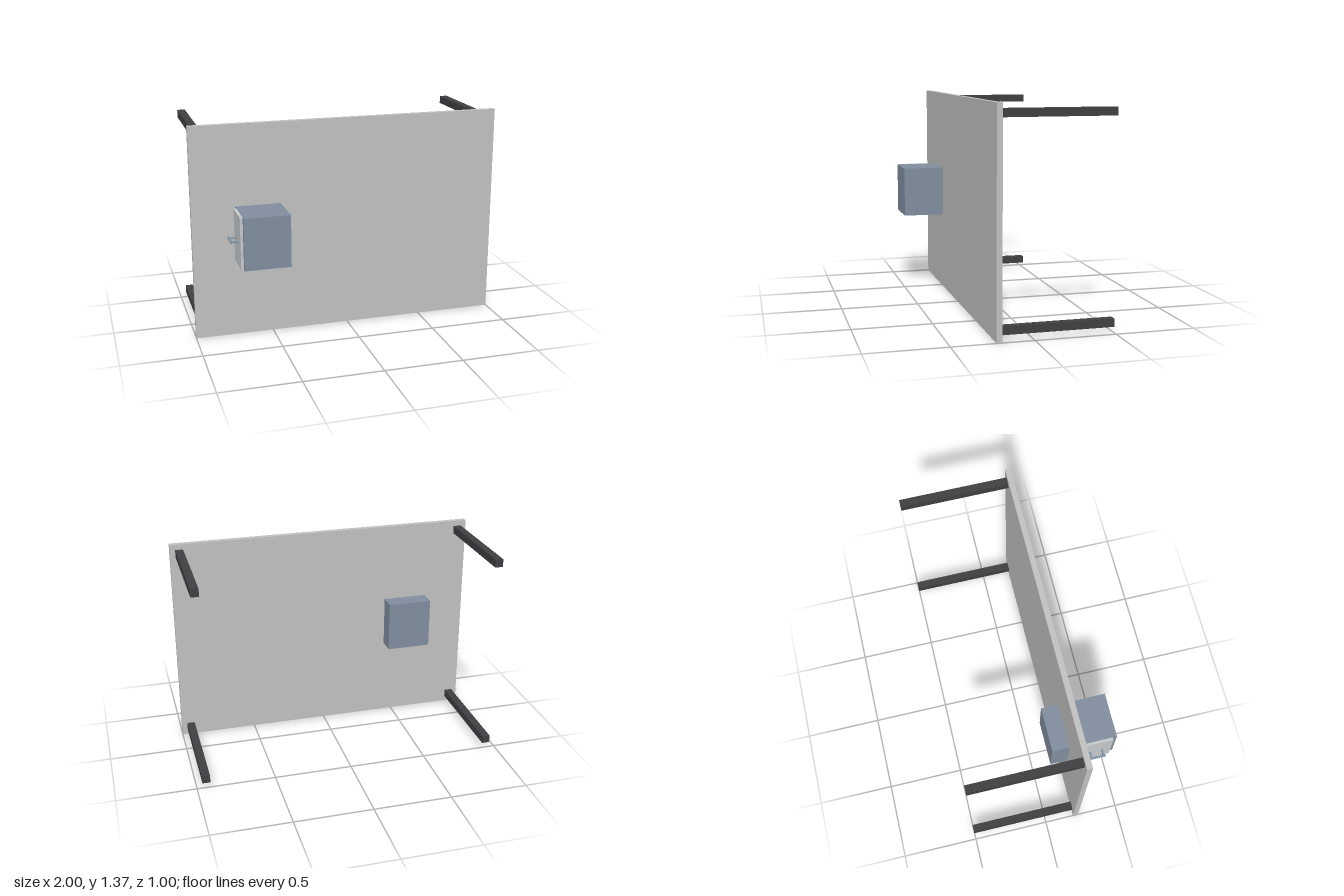
import * as THREE from 'three';

const mat = (name, color) => {
  const m = new THREE.MeshStandardMaterial({ color });
  m.name = name;
  return m;
};

export function createModel() {
  const group = new THREE.Group();
  const panelGrey = mat('panelGrey', 0xc0c0c0);
  const slate = mat('slateBlue', 0x808d9e);
  const charcoal = mat('charcoal', 0x3f3f42);
  const doorGrey = mat('doorGrey', 0xc4c8cb);
  const steel = mat('handleSteel', 0x8297a8);

  const add = (name, geometry, material, x, y, z) => {
    const mesh = new THREE.Mesh(geometry, material);
    mesh.name = name;
    mesh.position.set(x, y, z);
    group.add(mesh);
    return mesh;
  };

  // Box spanning min and max corners
  const box = (name, material, [x0, y0, z0], [x1, y1, z1]) =>
    add(name, new THREE.BoxGeometry(x1 - x0, y1 - y0, z1 - z0), material,
      (x0 + x1) / 2, (y0 + y1) / 2, (z0 + z1) / 2);

  // Upright board
  box('panel', panelGrey, [-1, 0, 0.195], [1, 1.37, 0.23]);

  // Four legs pointing backwards from the corners
  for (const x of [-0.94, 0.94]) {
    for (const y of [0.06, 1.31]) {
      box('leg', charcoal, [x - 0.025, y - 0.025, -0.502], [x + 0.025, y + 0.025, 0.195]);
    }
  }

  // Cabinet passing through the board, with a thin front plate on its side
  box('cabinet', slate, [-0.726, 0.522, 0.083], [-0.436, 0.852, 0.502]);
  box('drawerFront', doorGrey, [-0.743, 0.522, 0.272], [-0.726, 0.852, 0.475]);

  // Handle: two posts and a round grip
  for (const z of [0.333, 0.412]) {
    const post = add('handlePost', new THREE.CylinderGeometry(0.006, 0.006, 0.047, 16), steel, -0.766, 0.686, z);
    post.rotation.z = Math.PI / 2;
  }
  const grip = add('handleGrip', new THREE.CylinderGeometry(0.008, 0.008, 0.106, 20), steel, -0.789, 0.686, 0.373);
  grip.rotation.x = Math.PI / 2;

  return group;
}
